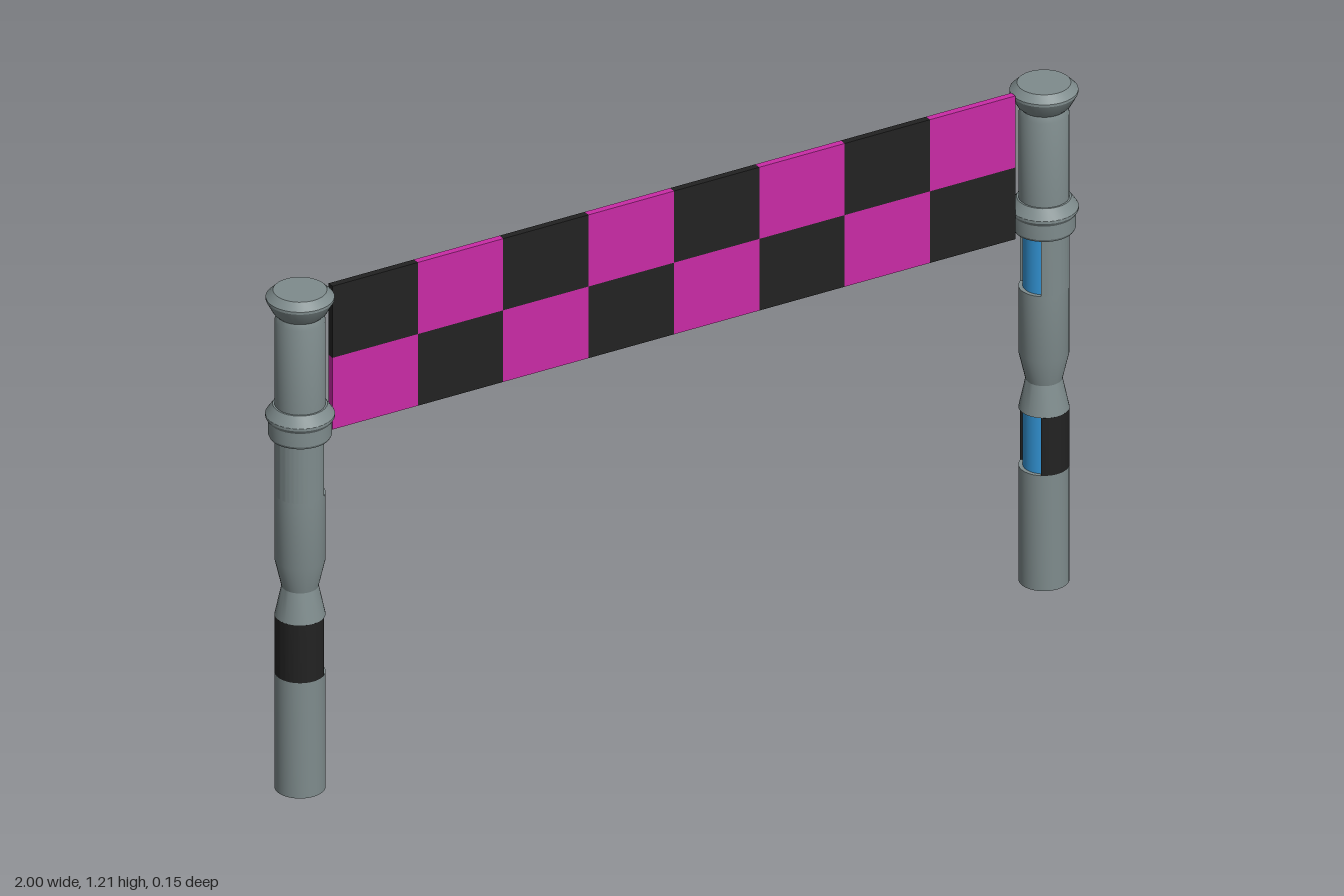
import * as THREE from 'three';
import { toCreasedNormals } from 'three/addons/utils/BufferGeometryUtils.js';

const paint = (color) => new THREE.MeshStandardMaterial({ color });
const grey = paint(0x7f8c8d), dark = paint(0x222222), magenta = paint(0xc92ba6), blue = paint(0x3498db);

const R = 0.055;          // post radius
const INNER = 0.046;      // radius of the recessed light panels
const HALF = 0.92;        // half angle of the recess, facing the banner
const POST_X = 0.926;

function add(parent, name, geometry, material) {
  const mesh = new THREE.Mesh(geometry, material);
  mesh.name = name;
  parent.add(mesh);
  return mesh;
}

// Closed turned solid from [radius, height] pairs, bottom to top
function turned(profile) {
  const pts = [[0, profile[0][1]], ...profile, [0, profile[profile.length - 1][1]]];
  const lathe = new THREE.LatheGeometry(pts.map(([r, y]) => new THREE.Vector2(r, y)), 32);
  return toCreasedNormals(lathe, 0.4);
}

// Section of post wall left open towards +x
function openWall(y0, y1) {
  const shape = new THREE.Shape();
  shape.absarc(0, 0, R, HALF, Math.PI * 2 - HALF, false);
  shape.absarc(0, 0, INNER - 0.004, Math.PI * 2 - HALF, HALF, true);
  shape.closePath();
  const g = new THREE.ExtrudeGeometry(shape, { depth: y1 - y0, bevelEnabled: false, curveSegments: 24 });
  g.rotateX(-Math.PI / 2).translate(0, y0, 0);
  return toCreasedNormals(g, 0.4);
}

// Curved light panel set back inside the opening
function panel(y0, y1) {
  const g = new THREE.CylinderGeometry(INNER, INNER, y1 - y0, 12, 1, true, Math.PI / 2 - HALF, HALF * 2);
  return g.translate(0, (y0 + y1) / 2, 0);
}

function createPost() {
  const post = new THREE.Group();
  add(post, 'postBase', turned([[R, 0], [R, 0.28]]), grey);
  add(post, 'darkBand', openWall(0.28, 0.42), dark);
  add(post, 'lowerLight', panel(0.28, 0.42), blue);
  // Pinched waist and plain shaft
  add(post, 'waist', turned([[R, 0.42], [0.04, 0.49], [R, 0.555], [R, 0.715]]), grey);
  add(post, 'upperWall', openWall(0.715, 0.857), grey);
  add(post, 'upperLight', panel(0.715, 0.857), blue);
  // Collar, upper shaft and flared cap
  add(post, 'collarAndShaft', turned([
    [0.066, 0.854], [0.069, 0.86], [0.069, 0.893], [0.075, 0.902], [0.075, 0.908],
    [0.059, 0.931], [R, 0.931], [R, 1.135], [0.05, 1.15],
  ]), grey);
  add(post, 'cap', turned([
    [0.05, 1.148], [0.059, 1.157], [0.074, 1.185], [0.074, 1.191], [0.058, 1.207],
  ]), grey);
  return post;
}

export function createModel() {
  const model = new THREE.Group();
  model.name = 'finishGate';

  // Posts, with their lights facing one another
  for (const side of [-1, 1]) {
    const post = createPost();
    post.name = side > 0 ? 'leftPost' : 'rightPost';
    post.position.x = side * POST_X;
    if (side > 0) post.rotation.y = Math.PI;
    model.add(post);
  }

  // Chequered banner
  const banner = new THREE.Group();
  banner.name = 'banner';
  const cols = 8, w = 1.7 / cols, h = 0.174;
  for (let row = 0; row < 2; row++) {
    for (let col = 0; col < cols; col++) {
      const square = add(banner, 'bannerSquare', new THREE.BoxGeometry(w, h, 0.016),
        (row + col) % 2 ? dark : magenta);
      square.position.set(-0.85 + (col + 0.5) * w, 0.85 + (row + 0.5) * h, 0);
    }
  }
  // Row 0 is the lower row: magenta at -x, so the upper row starts dark
  model.add(banner);
  return model;
}
